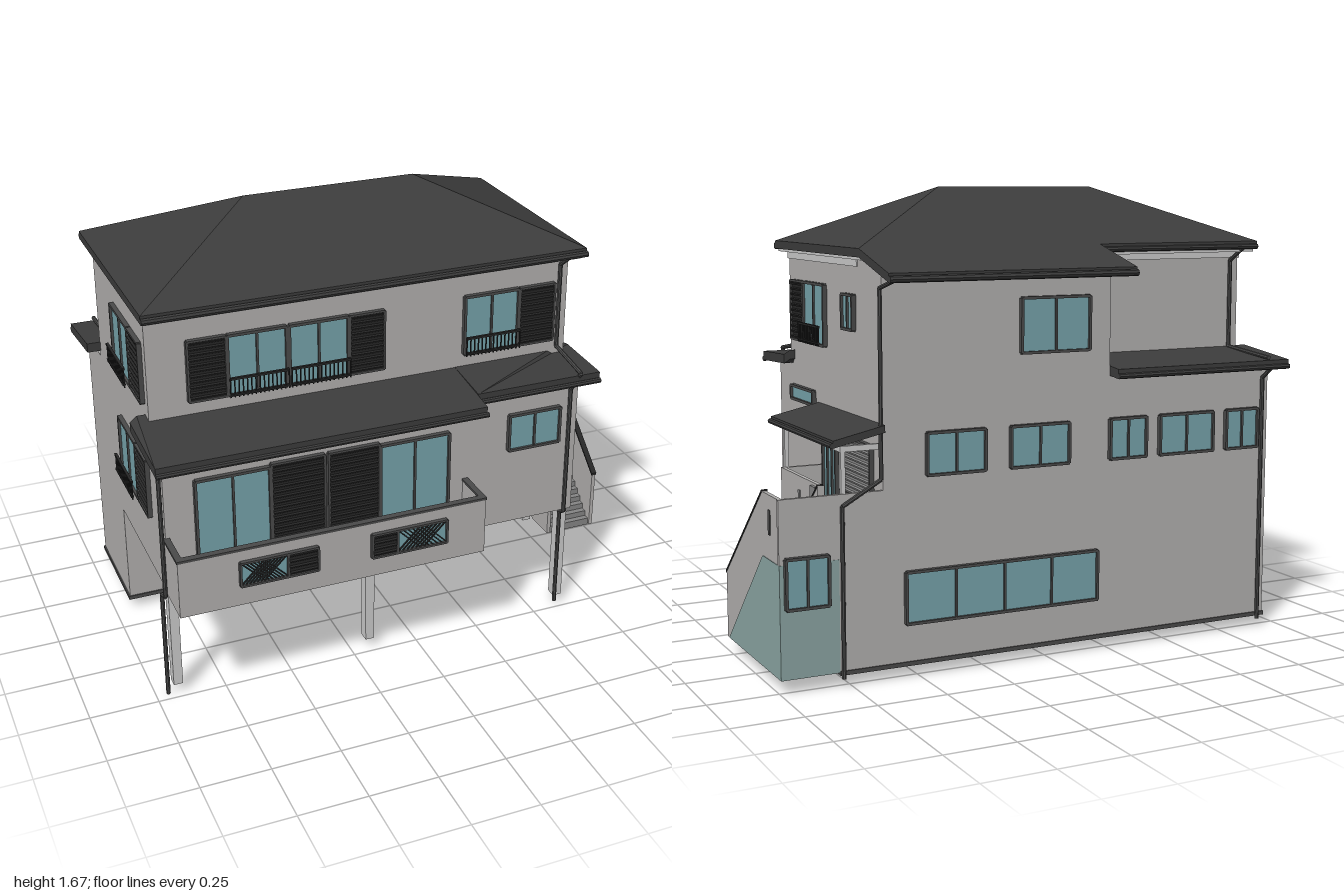
import * as THREE from 'three';

const mat = (color) => new THREE.MeshStandardMaterial({ color, side: THREE.DoubleSide, flatShading: true });
const WALL = mat(0xb2b0af), TRIM = mat(0xcccccc), ROOF = mat(0x3c3c3c), DARK = mat(0x262626),
  GLASS = mat(0x76a3ab), FRAME = mat(0x4a4a4a), TEAL = mat(0x8ba5a3), STEP = mat(0x858585);

export function createModel() {
  const root = new THREE.Group();

  const add = (name, geo, m, parent = root) => {
    const mesh = new THREE.Mesh(geo, m);
    mesh.name = name;
    parent.add(mesh);
    return mesh;
  };
  // Box given by its limits on each axis
  const box = (name, x0, x1, y0, y1, z0, z1, m = WALL, parent = root) => {
    const b = add(name, new THREE.BoxGeometry(x1 - x0, y1 - y0, z1 - z0), m, parent);
    b.position.set((x0 + x1) / 2, (y0 + y1) / 2, (z0 + z1) / 2);
    return b;
  };
  // Sloping roof plane with vertical thickness t; corners run anticlockwise seen from above
  const slab = (name, pts, t = 0.03, m = ROOF) => {
    const v = [], n = pts.length;
    const low = pts.map(([x, y, z]) => [x, y - t, z]);
    for (let i = 1; i < n - 1; i++) {
      v.push(...pts[0], ...pts[i], ...pts[i + 1]);
      v.push(...low[0], ...low[i + 1], ...low[i]);
    }
    for (let i = 0; i < n; i++) {
      const j = (i + 1) % n;
      v.push(...pts[i], ...low[i], ...low[j], ...pts[i], ...low[j], ...pts[j]);
    }
    const g = new THREE.BufferGeometry();
    g.setAttribute('position', new THREE.Float32BufferAttribute(v, 3));
    g.computeVertexNormals();
    return add(name, g, m);
  };
  // Side profile in (z, y), extruded from x0 to x1
  const profile = (name, pts, x0, x1, m = WALL) => {
    const shape = new THREE.Shape(pts.map(([z, y]) => new THREE.Vector2(z, y)));
    const g = new THREE.ExtrudeGeometry(shape, { depth: x1 - x0, bevelEnabled: false });
    g.rotateY(-Math.PI / 2).translate(x1, 0, 0);
    return add(name, g, m);
  };
  // Straight round pipes through a few points
  const pipe = (name, pts, r = 0.008, m = FRAME) => {
    const group = new THREE.Group();
    group.name = name;
    root.add(group);
    for (let i = 0; i < pts.length - 1; i++) {
      const a = new THREE.Vector3(...pts[i]), b = new THREE.Vector3(...pts[i + 1]);
      const seg = add(name + 'Segment', new THREE.CylinderGeometry(r, r, a.distanceTo(b), 8), m, group);
      seg.position.copy(a).lerp(b, 0.5);
      seg.quaternion.setFromUnitVectors(new THREE.Vector3(0, 1, 0), b.sub(a).normalize());
    }
  };

  // Openings: built facing +z, then turned onto a wall. u runs along world x or z.
  const onWall = (name, side, at, u0, u1, y0, y1, build) => {
    const g = new THREE.Group();
    g.name = name;
    const mid = (u0 + u1) / 2, y = (y0 + y1) / 2;
    if (side === 'front' || side === 'back') g.position.set(mid, y, at);
    else g.position.set(at, y, mid);
    g.rotation.y = { front: 0, back: Math.PI, right: Math.PI / 2, left: -Math.PI / 2 }[side];
    root.add(g);
    build(g, (u1 - u0) / 2, (y1 - y0) / 2);
  };
  const border = (g, w, h, t = 0.01) => {
    for (const s of [-1, 1]) {
      box('frameSide', s * w - t / 2, s * w + t / 2, -h, h, -0.005, 0.014, FRAME, g);
      box('frameRail', -w, w, s * h - t / 2, s * h + t / 2, -0.005, 0.014, FRAME, g);
    }
  };
  const glazing = (name, side, at, u0, u1, y0, y1, panes = 2, rail = false) =>
    onWall(name, side, at, u0, u1, y0, y1, (g, w, h) => {
      box('glass', -w, w, -h, h, -0.005, 0.005, GLASS, g);
      border(g, w, h);
      for (let i = 1; i < panes; i++) {
        const x = -w + (2 * w * i) / panes;
        box('mullion', x - 0.004, x + 0.004, -h, h, 0, 0.012, FRAME, g);
      }
      if (!rail) return;
      box('railTop', -w, w, -h + 0.066, -h + 0.074, 0.025, 0.035, DARK, g);
      box('railBottom', -w, w, -h + 0.008, -h + 0.014, 0.025, 0.035, DARK, g);
      for (let i = 0; i <= 14; i++) {
        const x = -w + (2 * w * i) / 14;
        box('railBar', x - 0.002, x + 0.002, -h, -h + 0.07, 0.028, 0.032, DARK, g);
      }
    });
  const shutter = (name, side, at, u0, u1, y0, y1, m = DARK) =>
    onWall(name, side, at, u0, u1, y0, y1, (g, w, h) => {
      box('shutterBack', -w, w, -h, h, -0.005, 0.006, m, g);
      border(g, w, h, 0.008);
      const n = Math.max(4, Math.round(h * 100));
      for (let i = 0; i < n; i++) {
        const y = -h + (2 * h * (i + 0.5)) / n;
        box('slat', -w, w, y - 0.004, y + 0.004, 0.004, 0.012, m, g).rotation.x = 0.4;
      }
    });
  const lattice = (name, u0, u1, y0, y1, at) =>
    onWall(name, 'front', at, u0, u1, y0, y1, (g, w, h) => {
      box('latticeBack', -w, w, -h, h, -0.005, 0.004, GLASS, g);
      border(g, w, h, 0.008);
      for (let i = 0; i < 7; i++) for (const s of [-1, 1]) {
        const x = -w + h + ((2 * w - 2 * h) * i) / 6;
        const bar = box('latticeBar', -h * 1.3, h * 1.3, -0.002, 0.002, 0.003, 0.009, DARK, g);
        bar.position.x = x;
        bar.rotation.z = (s * Math.PI) / 4;
      }
    });

  // Storeys
  box('basement', -0.94, 0.79, 0.05, 0.44, -0.52, -0.12);
  box('basementSill', -0.945, 0.79, 0.04, 0.055, -0.525, -0.115, FRAME);
  box('middleStorey', -0.94, 0.63, 0.44, 1.0, -0.52, 0.505);
  box('upperStorey', -0.94, 0.63, 1.0, 1.43, -0.31, 0.38);
  profile('upperBackRoom', [[-0.52, 1.0], [-0.3, 1.0], [-0.3, 1.43], [-0.4, 1.42], [-0.52, 1.385]], -0.25, 0.63);
  for (const x of [-0.92, -0.18, 0.61]) box('frontPost', x - 0.017, x + 0.017, 0.04, 0.44, 0.44, 0.48, TRIM);

  // Main hip roof with a shallower rear extension
  const [x0, x1, zf, zb, ye, yr, zr] = [-0.965, 0.66, 0.455, -0.4, 1.465, 1.67, 0.025];
  const ra = [-0.47, yr, zr], rb = [0.17, yr, zr];
  const fl = [x0, ye, zf], fr = [x1, ye, zf], br = [x1, ye, zb], bl = [x0, ye, zb];
  slab('roofFront', [fl, fr, rb, ra]);
  slab('roofRight', [fr, br, rb]);
  slab('roofBack', [br, bl, ra, rb]);
  slab('roofLeft', [bl, fl, ra]);
  slab('roofRearExtension', [[-0.275, ye, zb], [x1, ye, zb], [x1, 1.395, -0.655], [-0.275, 1.395, -0.655]].reverse());
  box('soffit', x0 + 0.01, x1 - 0.01, 1.425, 1.437, zb + 0.01, zf - 0.01, TRIM);
  box('frieze', -0.945, 0.635, 1.4, 1.43, -0.315, 0.386, TRIM);
  pipe('frontGutter', [[x0, 1.445, 0.46], [x1, 1.445, 0.46]], 0.012, ROOF);
  pipe('rearGutter', [[-0.275, 1.375, -0.66], [x1, 1.375, -0.66]], 0.012, ROOF);
  pipe('rearLeftGutter', [[x0, 1.445, zb], [-0.28, 1.445, zb]], 0.01, ROOF);

  // Skirt roofs between the storeys
  slab('skirtRoofFrontLeft', [[-0.995, 1.015, 0.65], [0.19, 1.015, 0.65], [0.19, 1.055, 0.335], [-0.97, 1.055, 0.335], [-0.995, 1.035, 0.335]], 0.035);
  slab('skirtRoofFrontRight', [[0.19, 1.03, 0.575], [0.675, 1.03, 0.575], [0.675, 1.04, 0.335], [0.65, 1.055, 0.335], [0.19, 1.055, 0.335]], 0.035);
  slab('skirtRoofBack', [[-0.99, 1.06, -0.3], [-0.25, 1.06, -0.3], [-0.25, 1.03, -0.58], [-0.99, 1.03, -0.58]], 0.035);
  pipe('skirtGutterLeft', [[-0.995, 0.985, 0.65], [0.195, 0.985, 0.65]], 0.01, ROOF);
  pipe('skirtGutterRight', [[0.19, 1.0, 0.58], [0.675, 1.0, 0.58]], 0.01, ROOF);
  pipe('skirtGutterBack', [[-0.99, 1.005, -0.582], [-0.25, 1.005, -0.582]], 0.01, ROOF);

  // Balcony: floor and three parapets
  box('balconyFloor', -0.945, 0.19, 0.44, 0.46, 0.5, 0.66);
  box('balconyFront', -0.945, 0.19, 0.44, 0.655, 0.645, 0.662);
  for (const x of [-0.945, 0.173]) box('balconySide', x, x + 0.017, 0.44, 0.655, 0.5, 0.66);
  box('balconyCap', -0.948, 0.193, 0.653, 0.662, 0.64, 0.665, FRAME);
  for (const x of [-0.948, 0.17]) box('balconySideCap', x, x + 0.023, 0.653, 0.662, 0.5, 0.66, FRAME);
  lattice('balconyLattice', -0.73, -0.56, 0.52, 0.61, 0.664);
  shutter('balconyVent', 'front', 0.664, -0.56, -0.45, 0.52, 0.61);
  shutter('balconyVent', 'front', 0.664, -0.25, -0.155, 0.52, 0.61);
  lattice('balconyLattice', -0.155, 0.035, 0.52, 0.61, 0.664);

  // Front openings
  shutter('upperShutter', 'front', 0.383, -0.8, -0.665, 1.1, 1.32);
  glazing('upperWindow', 'front', 0.383, -0.66, -0.45, 1.1, 1.32, 2, true);
  glazing('upperWindow', 'front', 0.383, -0.44, -0.225, 1.1, 1.32, 2, true);
  shutter('upperShutter', 'front', 0.383, -0.22, -0.09, 1.1, 1.32);
  glazing('upperWindow', 'front', 0.383, 0.22, 0.43, 1.1, 1.32, 2, true);
  shutter('upperShutter', 'front', 0.383, 0.435, 0.575, 1.1, 1.32);
  glazing('balconyDoor', 'front', 0.508, -0.83, -0.565, 0.47, 0.865);
  shutter('balconyShutter', 'front', 0.508, -0.56, -0.365, 0.47, 0.875);
  shutter('balconyShutter', 'front', 0.508, -0.35, -0.16, 0.47, 0.875);
  glazing('balconyDoor', 'front', 0.508, -0.155, 0.11, 0.47, 0.865);
  glazing('frontWindow', 'front', 0.508, 0.35, 0.555, 0.745, 0.885);

  // Right side openings
  shutter('sideShutter', 'right', 0.633, 0.205, 0.335, 1.1, 1.32);
  glazing('sideWindow', 'right', 0.633, -0.01, 0.2, 1.1, 1.32, 2, true);
  glazing('smallSideWindow', 'right', 0.633, -0.29, -0.19, 1.18, 1.3);
  glazing('slotWindow', 'right', 0.633, 0.115, 0.35, 0.87, 0.92, 1);
  glazing('entryDoor', 'right', 0.633, -0.115, 0.015, 0.46, 0.765, 3);
  shutter('entryScreen', 'right', 0.633, -0.44, -0.16, 0.6, 0.8, STEP);

  // Left side openings
  for (const y of [0.66, 1.1]) {
    glazing('leftWindow', 'left', -0.943, -0.03, 0.2, y, y + 0.22, 2, true);
    shutter('leftShutter', 'left', -0.943, 0.205, 0.34, y, y + 0.22);
  }

  // Back openings
  glazing('upperBackWindow', 'back', -0.523, -0.16, 0.11, 1.1, 1.29);
  for (const [a, b] of [[0.25, 0.47], [-0.08, 0.15], [-0.4, -0.25], [-0.69, -0.46], [-0.89, -0.75]])
    glazing('backWindow', 'back', -0.523, a, b, 0.7, 0.845);
  glazing('basementWindow', 'back', -0.523, -0.2, 0.55, 0.19, 0.37, 4);
  glazing('stairWindow', 'back', -0.525, 0.83, 0.98, 0.29, 0.46);

  // Entry porch with parapets and lean-to canopy
  box('porchFloor', 0.63, 0.8, 0.44, 0.46, -0.52, 0.055);
  box('porchFrontParapet', 0.63, 0.79, 0.44, 0.66, 0.04, 0.055);
  box('porchSideParapet', 0.775, 0.79, 0.44, 0.66, -0.35, 0.055);
  box('porchBackParapet', 0.63, 1.0, 0.44, 0.66, -0.52, -0.505);
  box('porchPost', 0.74, 0.775, 0.05, 0.44, -0.1, -0.06, TRIM);
  box('porchFrontSlot', 0.7, 0.725, 0.53, 0.61, 0.053, 0.058, STEP);
  box('porchSideSlot', 0.788, 0.793, 0.53, 0.61, -0.15, -0.13, STEP);
  const knob = add('porchLamp', new THREE.CylinderGeometry(0.02, 0.02, 0.02, 16), FRAME);
  knob.rotation.z = Math.PI / 2;
  knob.position.set(0.795, 0.535, -0.08);
  slab('canopyRoof', [[0.63, 0.885, 0.083], [0.815, 0.845, 0.083], [0.815, 0.845, -0.545], [0.63, 0.885, -0.545]], 0.025);
  pipe('canopyGutter', [[0.818, 0.828, 0.083], [0.818, 0.828, -0.545]], 0.01, ROOF);
  box('canopyBeam', 0.76, 0.78, 0.8, 0.825, -0.51, 0.06, TRIM);
  for (const z of [0.045, -0.515]) {
    box('canopyPost', 0.762, 0.778, 0.65, 0.81, z, z + 0.016, TRIM);
    box('canopyRafter', 0.63, 0.78, 0.8, 0.82, z, z + 0.016, TRIM);
  }

  // Outside stairs between two sloping walls
  const N = 17;
  for (let i = 0; i < N; i++) {
    const z = 0.06 - (0.41 * i) / N, y = 0.05 + (0.39 * (i + 1)) / N;
    box('step', 0.8, 0.985, y - 0.03, y, z - 0.026, z, STEP);
  }
  box('stairLanding', 0.79, 0.985, 0.42, 0.44, -0.51, -0.345, STEP);
  profile('stairOuterWall', [[0.07, 0.05], [0.07, 0.29], [-0.35, 0.66], [-0.52, 0.66], [-0.52, 0.05]], 0.983, 0.998);
  profile('stairInnerWall', [[0.07, 0.05], [0.07, 0.29], [-0.35, 0.66], [-0.35, 0.44], [-0.35, 0.32], [-0.06, 0.05]], 0.785, 0.8);
  for (const x of [0.78, 0.978])
    profile('stairWallCap', [[0.075, 0.285], [0.075, 0.294], [-0.35, 0.666], [-0.35, 0.657]], x, x + 0.022, DARK);
  profile('stairSidePanel', [[0.05, 0.05], [-0.35, 0.44], [-0.52, 0.44], [-0.52, 0.05]], 0.998, 1.0, TEAL);
  box('stairBackPanel', 0.79, 1.0, 0.05, 0.44, -0.522, -0.51, TEAL);
  box('stairSideSlot', 0.997, 1.001, 0.525, 0.61, -0.435, -0.415, FRAME);
  box('letterBox', 0.79, 0.8, 0.61, 0.65, -0.32, -0.27, STEP);

  // Rainwater pipes
  pipe('frontDownpipe', [[0.595, 1.44, 0.455], [0.595, 1.39, 0.39], [0.595, 1.07, 0.39], [0.595, 1.04, 0.58], [0.595, 0.95, 0.515], [0.595, 0.44, 0.515], [0.595, 0.42, 0.485], [0.595, 0.02, 0.485]]);
  pipe('leftDownpipe', [[-0.955, 0.98, 0.63], [-0.955, 0.94, 0.515], [-0.955, 0.44, 0.515], [-0.955, 0.42, 0.465], [-0.955, 0, 0.465]]);
  pipe('backRightDownpipe', [[0.64, 1.37, -0.65], [0.64, 1.34, -0.53], [0.64, 0.7, -0.53], [0.78, 0.62, -0.53], [0.78, 0.03, -0.53]]);
  pipe('backLeftDownpipe', [[-0.91, 1.0, -0.58], [-0.91, 0.96, -0.53], [-0.91, 0.03, -0.53]]);
  pipe('recessDownpipe', [[-0.9, 1.44, -0.4], [-0.9, 1.39, -0.32], [-0.9, 1.06, -0.32], [-0.9, 1.04, -0.58]]);
  return root;
}
